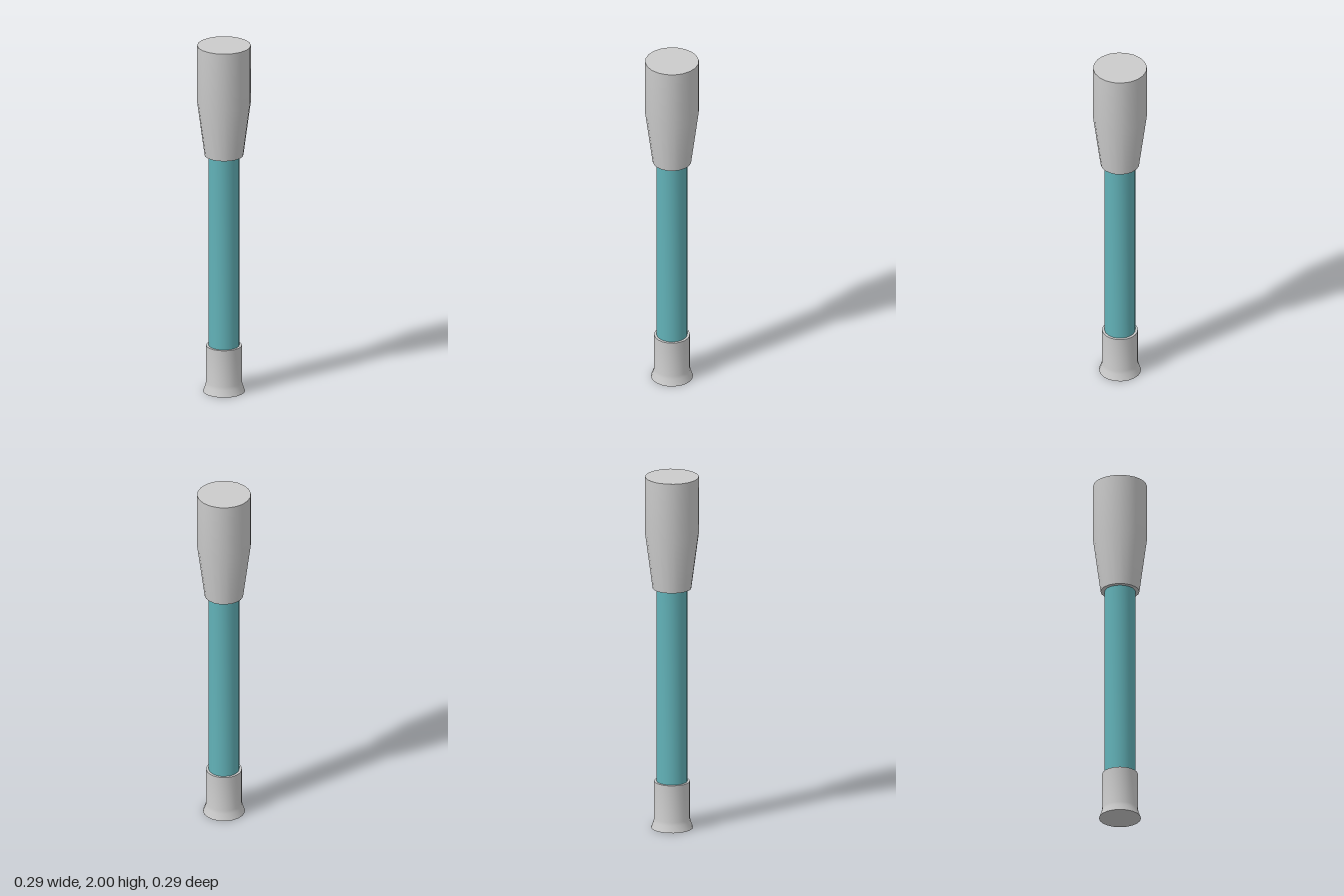
import * as THREE from 'three';
import { toCreasedNormals } from 'three/addons/utils/BufferGeometryUtils.js';

const SIDES = 20;
const grey = new THREE.MeshStandardMaterial({ color: 0xcccccc });
const teal = new THREE.MeshStandardMaterial({ color: 0x62b2b8 });

// Turned part from [radius, height] points, listed bottom to top
function turned(name, profile, material) {
  const points = profile.map(([r, y]) => new THREE.Vector2(r, y));
  const geometry = toCreasedNormals(new THREE.LatheGeometry(points, SIDES), Math.PI / 6);
  const mesh = new THREE.Mesh(geometry, material);
  mesh.name = name;
  return mesh;
}

export function createModel() {
  const model = new THREE.Group();
  model.name = 'handledShaft';

  // Flared foot collar
  model.add(turned('foot', [
    [0, 0], [0.115, 0], [0.102, 0.037], [0.098, 0.055], [0.098, 0.265], [0, 0.265],
  ], grey));

  // Coloured shaft, seated inside the foot and the grip
  model.add(turned('shaft', [
    [0, 0.2], [0.084, 0.2], [0.084, 1.42], [0, 1.42],
  ], teal));

  // Grip, tapering down to the shaft
  model.add(turned('grip', [
    [0, 1.365], [0.106, 1.365], [0.147, 1.675], [0.147, 2], [0, 2],
  ], grey));

  return model;
}
